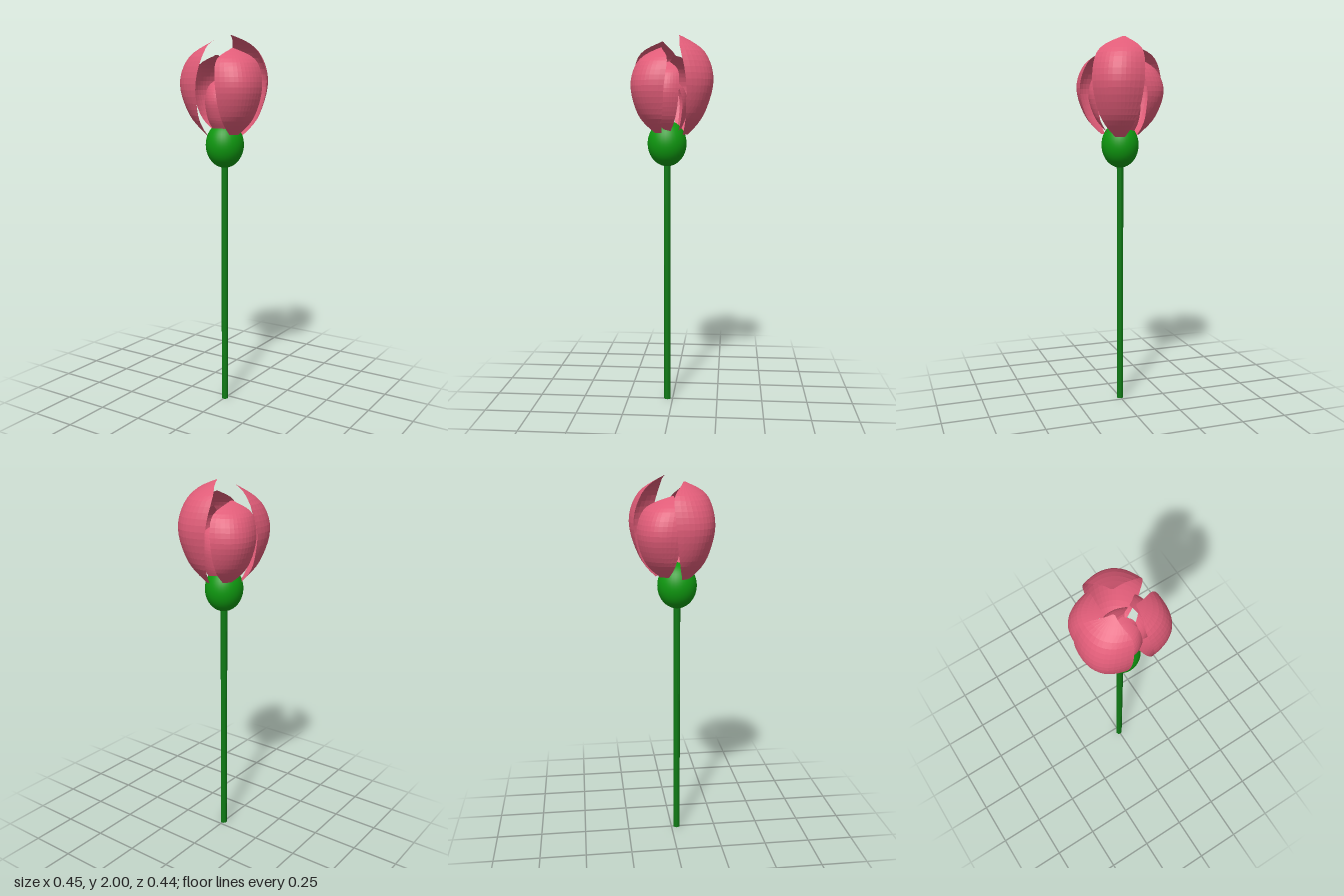
import * as THREE from 'three';

const petalMaterial = new THREE.MeshStandardMaterial({ color: 0xe05c78, flatShading: true, side: THREE.DoubleSide });
const bulbMaterial = new THREE.MeshStandardMaterial({ color: 0x0f9910 });
const stemMaterial = new THREE.MeshStandardMaterial({ color: 0x0f7a15, flatShading: true });

const COLS = 12, ROWS = 20;

const curve = (points) => new THREE.SplineCurve(points.map(([a, b]) => new THREE.Vector2(a, b)));

// Relative half-width of a petal from base to tip: pointed outer and blunt inner form
const pointed = curve([[0, 0.2], [0.2, 0.64], [0.4, 0.93], [0.6, 1], [0.8, 0.8], [1, 0.04]]);
const blunt = curve([[0, 0.6], [0.2, 0.85], [0.4, 0.98], [0.6, 1], [0.8, 0.92], [1, 0.4]]);

// Cupped petal. dir: outward [x, z]; base, outer, tip: distance from the axis;
// y0, y1: base and tip height; half: half-width; sag: how far the edges curl inward;
// shift: sideways move of the tip
function petal(name, { dir, base, outer, tip, y0, y1, half, sag, shift = 0, form = pointed }) {
  const [nx, nz] = new THREE.Vector2(...dir).normalize().toArray();
  const h = y1 - y0;
  const midrib = curve([
    [base, y0],
    [base + 0.65 * (outer - base), y0 + 0.22 * h],
    [outer, y0 + 0.55 * h],
    [tip + 0.72 * (outer - tip), y0 + 0.83 * h],
    [tip, y1],
  ]);

  const geometry = new THREE.PlaneGeometry(2, 1, COLS, ROWS);
  const pos = geometry.attributes.position;
  for (let i = 0; i < pos.count; i++) {
    const u = pos.getX(i), v = pos.getY(i) + 0.5;
    const m = midrib.getPoint(v);
    const s = form.getPoint(v).y * u;
    const n = m.x - sag * s * s;
    const t = s * half + shift * v ** 4;
    pos.setXYZ(i, nx * n + nz * t, m.y, nz * n - nx * t);
  }
  geometry.computeVertexNormals();
  const mesh = new THREE.Mesh(geometry, petalMaterial);
  mesh.name = name;
  return mesh;
}

export function createModel() {
  const flower = new THREE.Group();
  flower.name = 'flower';

  // Stem
  const stem = new THREE.Mesh(new THREE.CylinderGeometry(0.018, 0.018, 1.36, 12), stemMaterial);
  stem.name = 'stem';
  stem.position.set(0, 0.68, 0.03);

  // Egg-shaped receptacle under the petals
  const bulb = new THREE.Mesh(new THREE.SphereGeometry(1, 32, 24), bulbMaterial);
  bulb.name = 'receptacle';
  bulb.scale.set(0.1, 0.122, 0.105);
  bulb.position.set(0, 1.432, 0.03);
  flower.add(stem, bulb);

  // Outer petals
  const petals = new THREE.Group();
  petals.name = 'petals';
  petals.add(
    petal('outerPetalFrontRight', { dir: [-0.79, 0.61], base: 0.11, outer: 0.252, tip: 0.076, y0: 1.48, y1: 1.97, half: 0.138, sag: 0.075, shift: 0.015 }),
    petal('outerPetalFrontLeft', { dir: [0.76, 0.65], base: 0.11, outer: 0.252, tip: 0.085, y0: 1.49, y1: 1.93, half: 0.125, sag: 0.065 }),
    petal('outerPetalBack', { dir: [0.44, -0.9], base: 0.08, outer: 0.226, tip: 0.03, y0: 1.48, y1: 2.0, half: 0.135, sag: 0.07, shift: 0.015 }),
    petal('outerPetalBackRight', { dir: [-0.86, -0.51], base: 0.09, outer: 0.222, tip: 0.06, y0: 1.49, y1: 1.9, half: 0.125, sag: 0.065, shift: 0.035 }),
  );

  // Inner petals
  petals.add(
    petal('innerPetalFront', { dir: [0, 1], base: 0.1, outer: 0.15, tip: 0.045, y0: 1.52, y1: 1.78, half: 0.064, sag: 0.03, form: blunt }),
    petal('innerPetalLeft', { dir: [0.97, 0.25], base: 0.08, outer: 0.178, tip: 0.06, y0: 1.5, y1: 1.86, half: 0.08, sag: 0.04 }),
    petal('innerPetalBack', { dir: [-0.15, -1], base: 0.04, outer: 0.08, tip: 0.0, y0: 1.5, y1: 1.77, half: 0.09, sag: 0.035, form: blunt }),
    petal('heartPetal', { dir: [0, 1], base: 0.06, outer: 0.09, tip: 0.0, y0: 1.51, y1: 1.74, half: 0.08, sag: 0.03, form: blunt }),
  );
  flower.add(petals);
  return flower;
}
